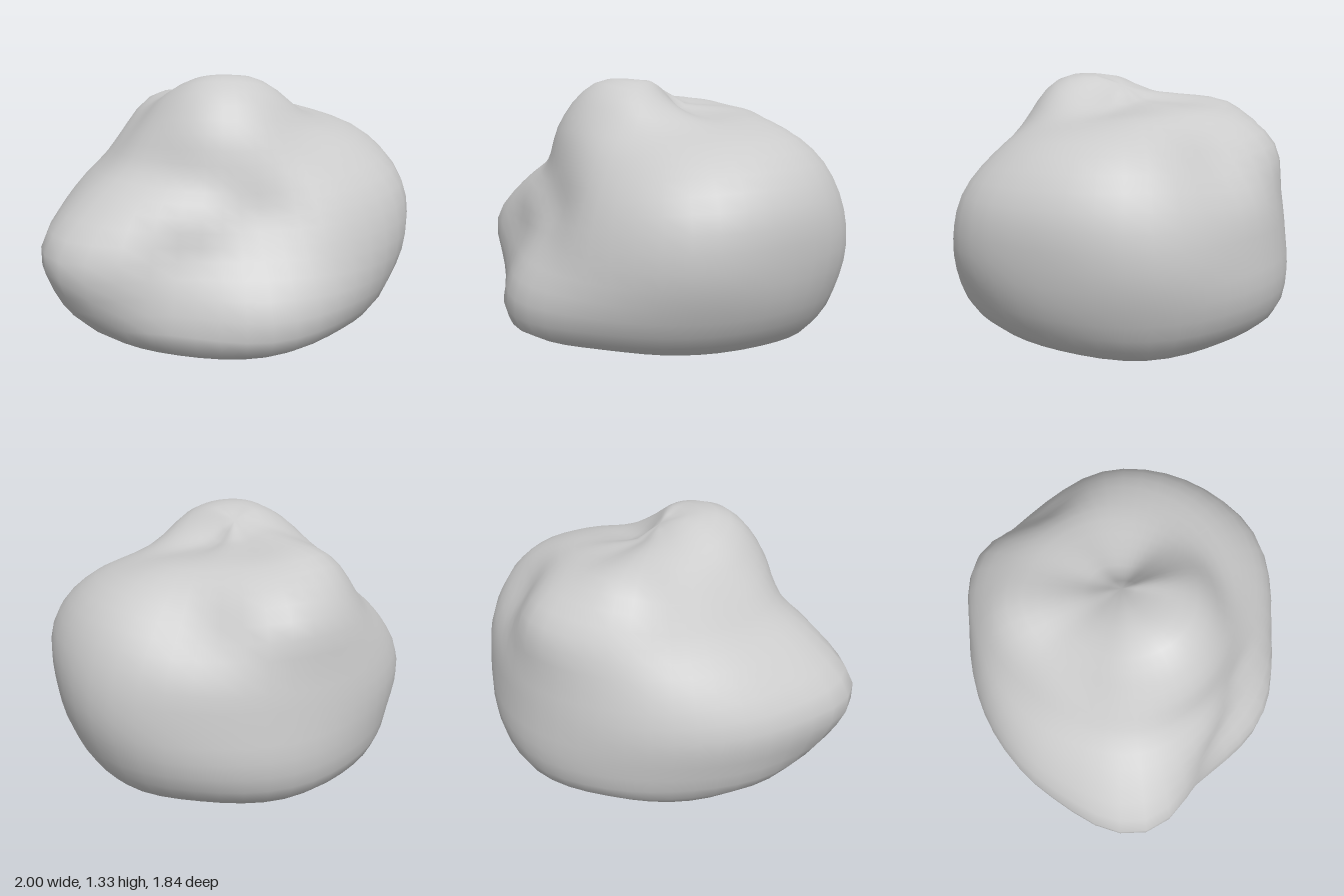
import * as THREE from 'three';
import { mergeVertices } from 'three/addons/utils/BufferGeometryUtils.js';

// Distance from the rock's core, per elevation (degrees), every 30 degrees
// of azimuth running from +x through +z.
const PROFILES = [
  [-90, [0.5]],
  [-45, [0.71]],
  [-33, [0.88, 0.86, 0.85, 0.88, 0.88, 0.88, 0.86, 0.86, 0.85, 0.88, 0.88, 0.91]],
  [-24, [0.94, 0.93, 0.93, 0.98, 0.95, 0.97, 0.94, 0.9, 0.91, 0.95, 0.95, 0.97]],
  [-13, [0.97, 0.96, 0.93, 0.93, 0.88, 1.04, 0.95, 0.89, 0.89, 0.94, 0.96, 0.99]],
  [0, [0.99, 0.99, 0.88, 0.77, 0.79, 1.07, 0.96, 0.89, 0.87, 0.9, 0.93, 1.01]],
  [15, [1.01, 0.98, 0.83, 0.69, 0.77, 0.9, 0.85, 0.84, 0.86, 0.9, 0.91, 1.0]],
  [30, [0.95, 0.89, 0.79, 0.72, 0.73, 0.77, 0.75, 0.78, 0.88, 0.95, 0.84, 0.95]],
  [48, [0.8, 0.78, 0.78, 0.81, 0.82, 0.78, 0.74, 0.78, 0.89, 0.87, 0.83, 0.83]],
  [65, [0.7, 0.76, 0.84, 0.88, 0.88, 0.83, 0.78, 0.77, 0.79, 0.75, 0.74, 0.71]],
  [80, [0.69, 0.75, 0.82, 0.83, 0.83, 0.82, 0.79, 0.76, 0.74, 0.71, 0.7, 0.68]],
  [90, [0.765]],
];
const CORE_HEIGHT = 0.5;

// Smooth curve through four neighbouring values
function spline(a, b, c, d, t) {
  return b + 0.5 * t * (c - a + t * (2 * a - 5 * b + 4 * c - d + t * (3 * (b - c) + d - a)));
}

// Closed interpolation round one profile
function around(values, azimuth) {
  const n = values.length;
  const f = (azimuth / (2 * Math.PI) + 1) * n;
  const i = Math.floor(f);
  const v = (k) => values[(i + k + n) % n];
  return spline(v(-1), v(0), v(1), v(2), f - i);
}

// Rock radius in any direction
function radius(elevation, azimuth) {
  const last = PROFILES.length - 1;
  let i = 0;
  while (i < last - 1 && PROFILES[i + 1][0] <= elevation) i++;
  const t = (elevation - PROFILES[i][0]) / (PROFILES[i + 1][0] - PROFILES[i][0]);
  const v = (k) => around(PROFILES[Math.min(last, Math.max(0, i + k))][1], azimuth);
  return spline(v(-1), v(0), v(1), v(2), Math.min(1, Math.max(0, t)));
}

export function createModel() {
  const group = new THREE.Group();
  group.name = 'boulder';

  // Sphere pushed out to the rock's shape, with a flat underside
  let geometry = new THREE.SphereGeometry(1, 48, 36);
  geometry.deleteAttribute('uv');
  geometry.deleteAttribute('normal');
  geometry = mergeVertices(geometry, 1e-5);
  const position = geometry.attributes.position;
  const p = new THREE.Vector3();
  for (let i = 0; i < position.count; i++) {
    p.fromBufferAttribute(position, i).normalize();
    const elevation = THREE.MathUtils.radToDeg(Math.asin(p.y));
    p.multiplyScalar(radius(elevation, Math.atan2(p.z, p.x)));
    position.setXYZ(i, p.x, Math.max(0, p.y + CORE_HEIGHT), p.z);
  }

  // Centre over the origin
  geometry.computeBoundingBox();
  const centre = geometry.boundingBox.getCenter(new THREE.Vector3());
  geometry.translate(-centre.x, 0, -centre.z);
  geometry.computeVertexNormals();

  const rock = new THREE.Mesh(geometry, new THREE.MeshStandardMaterial({ color: 0xcccccc }));
  rock.name = 'rock';
  group.add(rock);
  return group;
}
